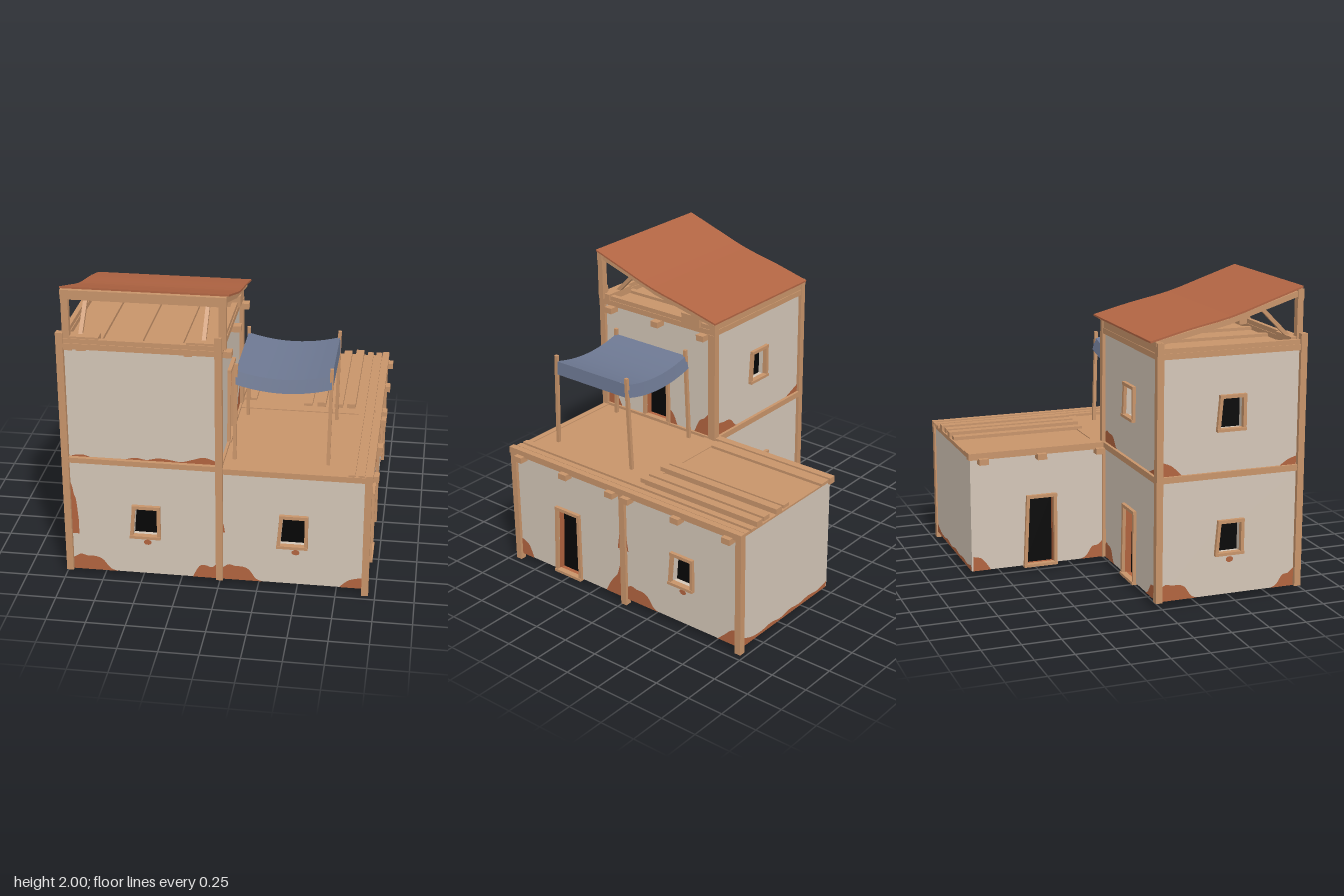
import * as THREE from 'three';

const mat = (name, color, side = THREE.DoubleSide) => {
  const m = new THREE.MeshStandardMaterial({ color, side });
  m.name = name;
  return m;
};

export function createModel() {
  const root = new THREE.Group();
  root.name = 'house';
  const plaster = mat('plaster', 0xd4c6b7), wood = mat('wood', 0xc8946a, THREE.FrontSide);
  const brick = mat('brick', 0xb2643f), tile = mat('roofRed', 0xb26543);
  const cloth = mat('blueCloth', 0x6d7892), dark = mat('darkOpening', 0x060606);

  const add = (parent, name, geo, m) => {
    const mesh = new THREE.Mesh(geo, m);
    mesh.name = name;
    parent.add(mesh);
    return mesh;
  };
  // axis-aligned timber given by its limits
  const block = (name, x0, x1, y0, y1, z0, z1, parent = root) => {
    const b = add(parent, name, new THREE.BoxGeometry(x1 - x0, y1 - y0, z1 - z0), wood);
    b.position.set((x0 + x1) / 2, (y0 + y1) / 2, (z0 + z1) / 2);
  };
  // slanted timber from a to b, in the parent's own frame
  const beam = (name, a, b, w, h = w, parent = root) => {
    const p = new THREE.Vector3(...a), q = new THREE.Vector3(...b);
    const m = add(parent, name, new THREE.BoxGeometry(w, h, p.distanceTo(q)), wood);
    m.position.copy(p).add(q).multiplyScalar(0.5);
    m.quaternion.setFromUnitVectors(new THREE.Vector3(0, 0, 1), q.sub(p).normalize());
  };
  const poly = pts => new THREE.Shape(pts.map(p => new THREE.Vector2(...p)));

  // opening outline (slightly skewed), frame, reveal and dark panel
  const opening = (g, [type, c, base]) => {
    const door = type === 'door';
    const y0 = base + (door ? 0.005 : 0.278), y1 = base + (door ? 0.47 : 0.478);
    const l0 = c - (door ? 0.1 : 0.085), l1 = c - (door ? 0.078 : 0.068), r = c + (door ? 0.09 : 0.07);
    const pts = [[l0, y0], [r, y0], [r, y1], [l1, y1]];
    const ring = poly([[l0 - 0.006, y0 - 0.004], [r + 0.006, y0 - 0.004], [r + 0.006, y1 + 0.006], [l1 - 0.006, y1 + 0.006]]);
    ring.holes.push(poly(pts));
    const reveal = add(g, type + 'Reveal', new THREE.ExtrudeGeometry(ring, { depth: 0.044, bevelEnabled: false }), door ? brick : plaster);
    reveal.position.z = -0.046;
    add(g, type + 'Dark', new THREE.ShapeGeometry(poly(pts)), dark).position.z = -0.045;
    const t = 0.022;
    beam(type + 'JambLeft', [l0 - t / 2, y0, 0.005], [l1 - t / 2, y1, 0.005], t, 0.032, g);
    beam(type + 'JambRight', [r + t / 2, y0, 0.005], [r + t / 2, y1, 0.005], t, 0.032, g);
    block(type + 'Lintel', l1 - t, r + t, y1 - 0.003, y1 + 0.019, -0.012, 0.024, g);
    block(type + 'Sill', l0 - t, r + t, y0 - 0.015, y0 + 0.004, -0.012, 0.027, g);
    return poly(pts);
  };

  // wall in its own plane: u runs right as seen from outside, v is height
  const wall = (name, x, z, turn, u0, u1, v0, v1, openings = [], patches = [], spots = []) => {
    const g = new THREE.Group();
    g.name = name;
    g.position.set(x, 0, z);
    g.rotation.y = turn * Math.PI / 2;
    root.add(g);
    const s = poly([[u0, v0], [u1, v0], [u1, v1], [u0, v1]]);
    openings.forEach(o => s.holes.push(opening(g, o)));
    add(g, 'plasterWall', new THREE.ShapeGeometry(s), plaster);
    // bare brick where plaster has fallen off
    patches.forEach(([a, b, base, hs]) => {
      const p = new THREE.Shape();
      p.moveTo(b, base);
      p.lineTo(a, base);
      p.lineTo(a, base + hs[0]);
      p.splineThru(hs.slice(1).map((h, i) => new THREE.Vector2(a + (b - a) * (i + 1) / (hs.length - 1), base + h)));
      add(g, 'brickPatch', new THREE.ShapeGeometry(p, 5), brick).position.z = 0.003;
    });
    spots.forEach(([u, v]) => {
      const m = add(g, 'brickSpot', new THREE.CircleGeometry(0.026, 9), brick);
      m.position.set(u, v, 0.003);
      m.scale.y = 0.75;
    });
  };

  const L = 0.04, U = 0.85;
  const left = [0.08, 0.11, 0.1, 0.1, 0.08, 0.02, 0.0], right = [0, 0.02, 0.08, 0.09, 0.13];
  // ground floor walls
  wall('frontWall', 0, 0.94, 0, -0.965, 0.935, L, 0.82, [['window', -0.465, L], ['window', 0.475, L]],
    [[-0.95, -0.66, L, left], [-0.17, 0, L, [0, 0.08, 0.09, 0.08, 0.13]], [0.02, 0.28, L, left], [0.77, 0.93, L, [0, 0.05, 0.07, 0.08]],
      [-0.95, -0.905, 0.3, [0.38, 0.34, 0.28, 0.24, 0.1]], [0.02, 0.04, 0.38, [0.07, 0.06, 0]]], [[-0.46, 0.27], [0.49, 0.27]]);
  wall('rightWall', 0.935, 0, 1, -0.94, 0.96, L, 0.82, [['door', -0.475, L], ['window', 0.5, L]],
    [[-0.92, -0.81, L, [0.12, 0.11, 0.08, 0]], [-0.15, -0.01, L, [0, 0.07, 0.12, 0.17, 0.3]], [0.02, 0.3, L, left],
      [0.78, 0.94, L, [0, 0.05, 0.1, 0.12]], [-0.04, -0.01, 0.4, [0, 0.1, 0.18]], [0.02, 0.05, 0.4, [0.18, 0.1, 0]]], [[0.5, 0.27]]);
  wall('wingBackWall', 0, -0.96, 2, -0.935, 0, L, 0.82, [],
    [[-0.93, -0.01, L, [0.07, 0.03, 0.02, 0.03, 0.015, 0.03, 0.02, 0.03, 0.02, 0.04]]]);
  wall('wingLeftWall', 0, 0, 3, -0.96, -0.02, L, 0.82, [['door', -0.48, L]],
    [[-0.95, -0.83, L, [0.1, 0.08, 0]], [-0.2, -0.03, L, right]]);
  wall('towerBackWall', 0, -0.02, 2, 0, 0.965, L, 0.82, [['door', 0.48, L]],
    [[0.01, 0.2, L, left], [0.76, 0.95, L, right]]);
  wall('towerLeftWall', -0.965, 0, 3, -0.02, 0.94, L, 0.82, [['window', 0.47, L]],
    [[-0.01, 0.25, L, left], [0.76, 0.93, L, right]], [[0.47, 0.27]]);
  // upper floor walls
  wall('upperFrontWall', 0, 0.935, 0, -0.965, 0.005, 0.82, 1.62, [],
    [[-0.6, -0.02, U, [0, 0.02, 0.01, 0.025, 0.02, 0.01, 0.03, 0.05, 0.03]], [-0.93, -0.8, U, [0.01, 0.02, 0]]]);
  wall('upperRightWall', 0.005, 0, 1, -0.935, 0.02, 0.82, 1.62, [['door', -0.475, U]],
    [[-0.92, -0.8, U, [0.1, 0.1, 0.07, 0]], [-0.36, -0.3, U, [0.1, 0.07, 0]], [-0.15, -0.02, U, [0, 0.09, 0.12, 0.17]]]);
  wall('upperBackWall', 0, -0.02, 2, -0.005, 0.965, 0.82, 1.62, [['window', 0.48, U]],
    [[0.01, 0.26, U, left.map(h => h * 0.8)], [0.8, 0.95, U, [0, 0.03, 0.06]]]);
  wall('upperLeftWall', -0.965, 0, 3, -0.02, 0.935, 0.82, 1.62, [['window', 0.47, U]],
    [[-0.01, 0.14, U, [0.1, 0.07, 0]], [0.8, 0.92, U, [0, 0.04, 0.06]]]);

  // corner posts: x, z, bottom, top
  [[-0.97, 0.945, L, 1.7], [0.005, 0.945, L, 1.72], [0.935, 0.94, 0, 0.85], [0.935, -0.015, 0, 0.85],
    [0.935, -0.95, 0, 0.85], [0.005, -0.02, L, 1.7], [-0.97, -0.02, L, 1.7]]
    .forEach(([x, z, a, b]) => block('cornerPost', x - 0.022, x + 0.022, a, b, z - 0.022, z + 0.022));

  // floor decks, with plastered ceilings below
  block('terraceDeck', 0, 0.94, 0.805, 0.832, -0.96, 0.94);
  block('towerFloor', -0.96, 0, 0.805, 0.832, -0.015, 0.93);
  block('towerDeck', -0.96, 0, 1.575, 1.6, -0.015, 0.93);
  [[0.468, -0.01, 0.93, 1.89], [-0.48, 0.457, 0.95, 0.94]].forEach(([x, z, w, d]) => {
    const c = add(root, 'ceiling', new THREE.PlaneGeometry(w, d), plaster);
    c.rotation.x = Math.PI / 2;
    c.position.set(x, 0.803, z);
  });
  // storey beams
  block('frontBeamLeft', -0.98, 0.02, 0.82, 0.855, 0.93, 0.965);
  block('frontBeamRight', 0.02, 0.96, 0.8, 0.838, 0.915, 0.955);
  block('rightBeam', 0.92, 0.962, 0.81, 0.855, -0.975, 0.965);
  block('wingLeftBeam', -0.03, 0.02, 0.81, 0.855, -0.975, 0);
  block('towerBackBeam', -0.98, 0, 0.815, 0.855, -0.042, -0.01);
  block('towerLeftBeam', -0.985, -0.955, 0.815, 0.855, -0.04, 0.965);
  block('towerRightBeam', 0, 0.022, 0.82, 0.85, -0.02, 0.94);
  // joist ends
  [0.86, 0.46, 0.06, -0.07, -0.48, -0.88].forEach(z => {
    block('joistEnd', 0.92, 0.995, 0.78, 0.82, z - 0.032, z + 0.032);
    if (z < 0) block('joistEnd', -0.062, 0.01, 0.78, 0.82, z - 0.032, z + 0.032);
  });
  [0.85, 0.44, 0.05].forEach(z => block('upperJoistEnd', -0.02, 0.075, 1.557, 1.597, z - 0.03, z + 0.03));
  // terrace rails and loose planks
  [[0.05, -0.08], [0.09, -0.08], [0.83, 0.95], [0.89, 0.95]].forEach(([x, z1]) =>
    block('terraceRail', x - 0.02, x + 0.02, 0.83, 0.85, -0.97, z1));
  [[0.465, 0.855], [0.555, 0.868], [0.67, 0.862], [0.755, 0.868]].forEach(([x, y], i) =>
    block('loosePlank', x - 0.028, x + 0.028, 0.832, y, -0.95 - (i % 2) * 0.01, -0.03));
  block('terraceCrossPlank', 0.02, 0.82, 0.83, 0.838, -0.07, 0.05);

  // tower parapet: limits and cap height
  [['Front', -0.96, 0.02, 0.92, 0.96, 1.662], ['Back', -0.96, 0.02, -0.04, 0, 1.69],
    ['Left', -0.985, -0.945, -0.03, 0.95, 1.662], ['Right', -0.02, 0.025, -0.02, 0.95, 1.662]]
    .forEach(([n, x0, x1, z0, z1, top]) => {
      block('parapet' + n, x0, x1, 1.595, 1.632, z0, z1);
      block('parapetCap' + n, x0 + 0.005, x1 - 0.005, 1.632, top, z0 + 0.005, z1 - 0.005);
    });
  block('backPostSleeve', -0.01, 0.03, 0.85, 1.6, -0.043, 0.015);
  block('cornerBlockFront', -0.19, 0.035, 1.625, 1.675, 0.87, 0.95);
  block('cornerBlockFront', -0.95, -0.73, 1.625, 1.675, 0.87, 0.95);
  block('cornerBlockBack', -0.1, 0.04, 1.63, 1.705, 0.08, 0.23);
  [[-0.92, 0.05], [-0.84, 0.06], [-0.18, 0.05]].forEach(([x, w]) => block('beamStub', x - w / 2, x + w / 2, 1.585, 1.612, 0.92, 0.955));
  [-0.75, -0.5, -0.25].forEach(x => block('towerRail', x - 0.02, x + 0.02, 1.6, 1.62, 0, 0.92));

  // sloping roof sheet, swept from a short curve
  const line = new THREE.CatmullRomCurve3([[0.945, 1.995], [0.72, 1.92], [0.455, 1.834], [0.18, 1.774], [-0.075, 1.71]]
    .map(([z, y]) => new THREE.Vector3(0, y, z))).getPoints(12);
  const roofShape = poly([...line.map(p => [p.z, p.y]), ...[...line].reverse().map(p => [p.z, p.y - 0.012])]);
  const roof = add(root, 'roofSheet', new THREE.ExtrudeGeometry(roofShape, { depth: 1.025, bevelEnabled: false }), tile);
  roof.rotation.y = -Math.PI / 2;
  roof.position.x = 0.07;
  // roof frame
  [-0.93, 0.03].forEach((x, i) => {
    const inX = i ? -0.09 : -0.85;
    block('roofPost', x - 0.022, x + 0.022, 1.64, 1.95, 0.91, 0.95);
    beam('rafterFront', [x, 1.95, 0.93], [x, 1.8, 0.455], 0.035);
    beam('rafterBack', [x, 1.8, 0.46], [x, 1.688, -0.04], 0.035);
    beam('roofStrut', [inX, 1.66, 0.9], [inX, 1.87, 0.69], 0.025);
    beam('innerRafter', [inX, 1.95, 0.93], [inX, 1.8, 0.455], 0.025);
    beam('innerRafterBack', [inX, 1.8, 0.455], [inX, 1.688, -0.04], 0.025);
  });
  block('roofFrontBeam', -0.955, 0.055, 1.915, 1.975, 0.91, 0.952);
  block('roofBackBeam', -0.98, 0.05, 1.68, 1.705, -0.045, -0.01);

  // awning: poles and sagging cloth with a hanging edge
  [0.08, 0.67].forEach(x => [[0.79, 0.765], [0.14, 0.16]].forEach(([z0, z1]) =>
    beam('awningPole', [x, 0.83, z0], [x + 0.008, 1.472, z1], 0.022)));
  const x0 = 0.085, x1 = 0.68, z0 = 0.155, z1 = 0.77;
  const sag = x => 1.43 - 0.045 * (1 - ((x - 0.3825) / 0.2975) ** 2);
  const sheet = (name, at) => {
    const geo = new THREE.PlaneGeometry(1, 1, 12, 1), p = geo.attributes.position;
    for (let i = 0; i < p.count; i++) p.setXYZ(i, ...at(p.getX(i) + 0.5, p.getY(i) + 0.5));
    geo.computeVertexNormals();
    add(root, name, geo, cloth);
  };
  const X = u => x0 + (x1 - x0) * u, Z = u => z0 + (z1 - z0) * u;
  sheet('awningTop', (u, v) => [X(u), sag(X(u)), Z(1 - v)]);
  sheet('awningFrontEdge', (u, v) => [X(u), sag(X(u)) - 0.085 * (1 - v), z1 + 0.02 * (1 - v)]);
  sheet('awningBackEdge', (u, v) => [X(1 - u), sag(X(1 - u)) - 0.085 * (1 - v), z0 - 0.02 * (1 - v)]);
  sheet('awningRightEdge', (u, v) => [x1 + 0.006 * (1 - v), 1.43 - 0.09 * (1 - v), Z(1 - u)]);
  sheet('awningLeftEdge', (u, v) => [x0 - 0.006 * (1 - v), 1.43 - 0.09 * (1 - v), Z(u)]);
  return root;
}
